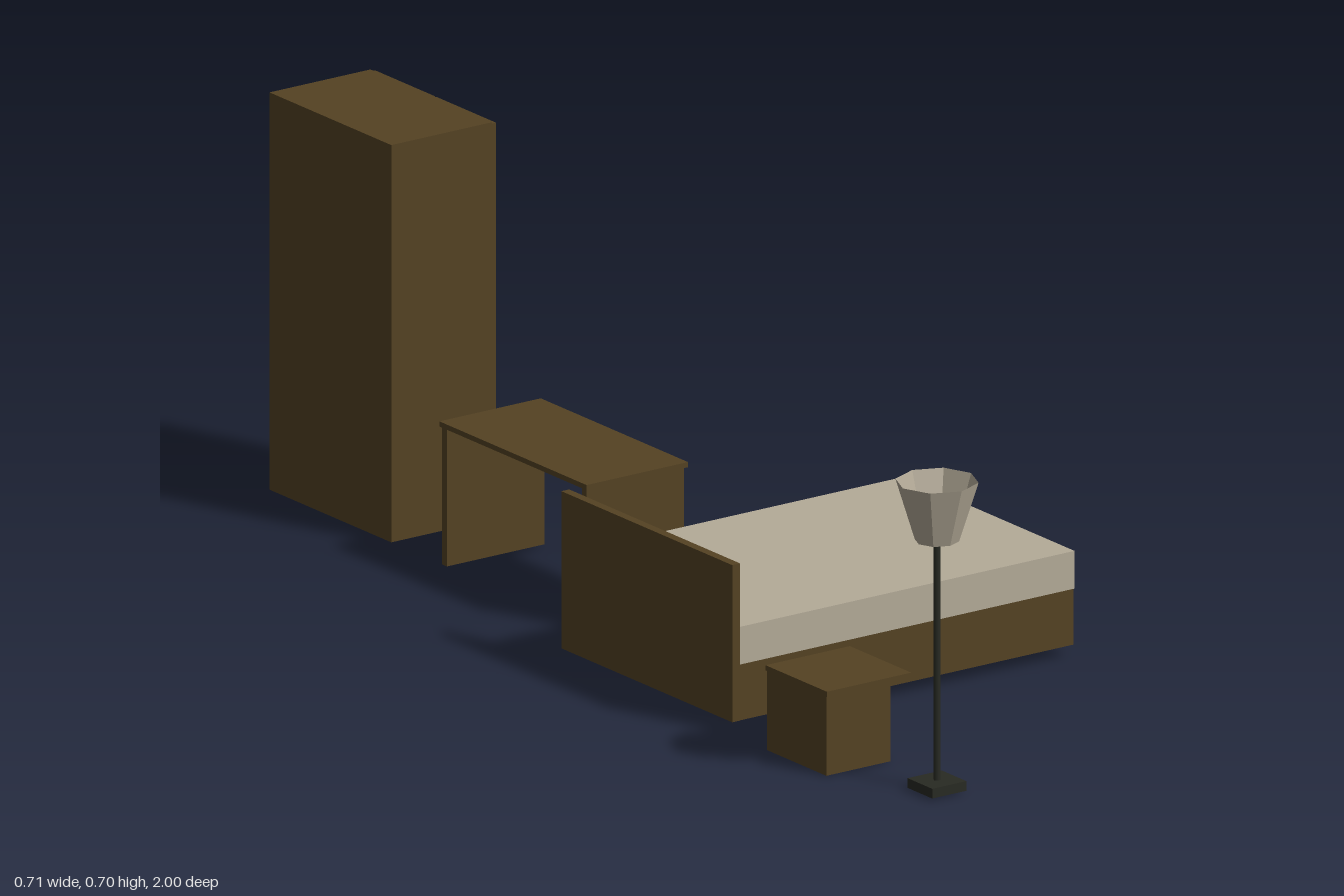
import * as THREE from 'three';

const flat = (name, color, side = THREE.FrontSide) => {
  const m = new THREE.MeshStandardMaterial({ color, side });
  m.name = name;
  return m;
};

export function createModel() {
  const wood = flat('walnutWood', 0x544223);
  const fabric = flat('paleFabric', 0xb4ab98, THREE.DoubleSide);
  const metal = flat('darkMetal', 0x282a23);

  const model = new THREE.Group();
  model.name = 'bedroomSet';

  const group = (name) => {
    const g = new THREE.Group();
    g.name = name;
    model.add(g);
    return g;
  };
  const add = (parent, name, geometry, material) => {
    const mesh = new THREE.Mesh(geometry, material);
    mesh.name = name;
    parent.add(mesh);
    return mesh;
  };
  // Box given by its [min, max] extent on each axis
  const box = (parent, name, material, x, y, z) => {
    const mesh = add(parent, name, new THREE.BoxGeometry(x[1] - x[0], y[1] - y[0], z[1] - z[0]), material);
    mesh.position.set((x[0] + x[1]) / 2, (y[0] + y[1]) / 2, (z[0] + z[1]) / 2);
    return mesh;
  };

  // Wardrobe with two doors opening towards +x
  const wardrobe = group('wardrobe');
  box(wardrobe, 'wardrobeBody', wood, [-0.223, -0.016], [0.005, 0.7], [-1, -0.655]);
  const split = -0.8275;
  for (const s of [-1, 1]) {
    const door = [split + s * 0.0015, split + s * 0.171].sort((a, b) => a - b);
    const handle = [split + s * 0.007, split + s * 0.015].sort((a, b) => a - b);
    box(wardrobe, 'wardrobeDoor', wood, [-0.015, -0.007], [0.009, 0.697], door);
    box(wardrobe, 'wardrobeHandle', metal, [-0.007, -0.003], [0.339, 0.366], handle);
  }

  // Desk with two panel legs
  const desk = group('desk');
  box(desk, 'deskTop', wood, [-0.228, -0.02], [0.247, 0.256], [-0.512, -0.095]);
  for (const z of [-0.508, -0.112]) {
    box(desk, 'deskLeg', wood, [-0.225, -0.025], [0.006, 0.247], [z, z + 0.013]);
  }

  // Bed
  const bed = group('bed');
  box(bed, 'bedBase', wood, [-0.334, 0.351], [0.02, 0.118], [0.003, 0.485]);
  box(bed, 'mattress', fabric, [-0.334, 0.352], [0.118, 0.184], [0.002, 0.486]);
  box(bed, 'headboard', wood, [-0.35, -0.334], [0.02, 0.295], [0.002, 0.486]);

  // Nightstand with two drawers facing +x
  const nightstand = group('nightstand');
  box(nightstand, 'nightstandBody', wood, [-0.354, -0.222], [0, 0.139], [0.59, 0.758]);
  box(nightstand, 'nightstandTop', wood, [-0.355, -0.182], [0.139, 0.148], [0.587, 0.761]);
  for (const [y0, y1] of [[0.01, 0.065], [0.072, 0.121]]) {
    box(nightstand, 'drawer', wood, [-0.222, -0.215], [y0, y1], [0.601, 0.747]);
    box(nightstand, 'drawerHandle', metal, [-0.215, -0.211], [y1 - 0.012, y1 - 0.007], [0.66, 0.688]);
  }

  // Floor lamp: square foot, thin pole, eight-sided shade open at the top
  const lamp = group('floorLamp');
  lamp.position.set(-0.2525, 0, 0.931);
  box(lamp, 'lampFoot', metal, [-0.035, 0.035], [0.003, 0.02], [-0.035, 0.035]);
  add(lamp, 'lampPole', new THREE.CylinderGeometry(0.0058, 0.0058, 0.424, 8).toNonIndexed(), metal)
    .position.y = 0.232;
  const shade = new THREE.CylinderGeometry(0.07, 0.0375, 0.104, 8, 1, true).toNonIndexed();
  shade.computeVertexNormals();
  add(lamp, 'lampShade', shade, fabric).position.y = 0.491;
  const bottom = add(lamp, 'lampShadeBottom', new THREE.CircleGeometry(0.0375, 8), fabric);
  bottom.rotation.x = -Math.PI / 2;
  bottom.position.y = 0.44;

  return model;
}
